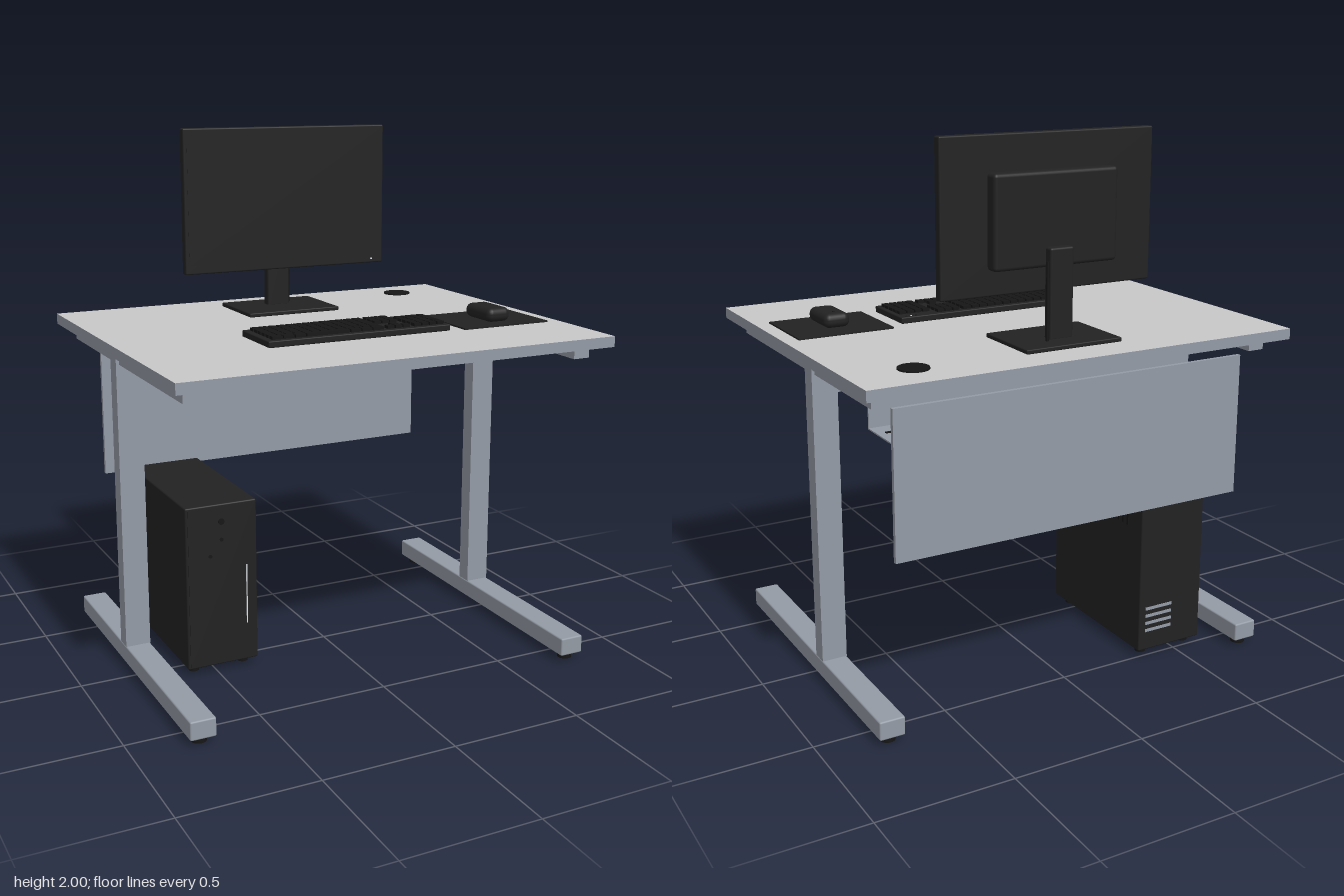
import * as THREE from 'three';
import { RoundedBoxGeometry } from 'three/addons/geometries/RoundedBoxGeometry.js';

const mat = (name, color) => {
  const m = new THREE.MeshStandardMaterial({ color });
  m.name = name;
  return m;
};

export function createModel() {
  const root = new THREE.Group();
  root.name = 'computerDesk';
  const laminate = mat('light grey laminate', 0xc8c8c8);
  const steel = mat('blue grey steel', 0x949ba5);
  const black = mat('black plastic', 0x222222);
  const dark = mat('deep black', 0x161616);
  const light = mat('indicator light', 0xdfe3e8);

  const group = (name) => {
    const g = new THREE.Group();
    g.name = name;
    root.add(g);
    return g;
  };
  const add = (parent, name, geo, m, x, y, z) => {
    const mesh = new THREE.Mesh(geo, m);
    mesh.name = name;
    mesh.position.set(x, y, z);
    parent.add(mesh);
    return mesh;
  };
  // box given by its limits on each axis; r rounds the edges
  const box = (parent, name, m, [x0, x1], [y0, y1], [z0, z1], r = 0) => {
    const s = [x1 - x0, y1 - y0, z1 - z0];
    const geo = r ? new RoundedBoxGeometry(...s, 3, r) : new THREE.BoxGeometry(...s);
    return add(parent, name, geo, m, (x0 + x1) / 2, (y0 + y1) / 2, (z0 + z1) / 2);
  };
  const disc = (parent, name, m, r, h, x, y, z) =>
    add(parent, name, new THREE.CylinderGeometry(r, r, h, 24), m, x, y + h / 2, z);

  // Desk top: laminate faces with a steel-coloured edge band
  const desk = group('desk');
  box(desk, 'deskTop', [steel, steel, laminate, laminate, steel, steel],
    [-0.845, 0.845], [1.235, 1.275], [-0.675, 0.675]);

  // T-shaped legs, one per side
  for (const s of [-1, 1]) {
    const leg = group(s > 0 ? 'leftLeg' : 'rightLeg');
    const span = (a, b) => (s > 0 ? [a, b] : [-b, -a]);
    box(leg, 'floorBar', steel, span(0.71, 0.805), [0.025, 0.095], [-0.62, 0.622], 0.006);
    box(leg, 'column', steel, span(0.71, 0.805), [0.095, 1.235], [-0.116, -0.053]);
    box(leg, 'topRail', steel, span(0.727, 0.793), [1.185, 1.235], [-0.59, 0.595]);
    for (const z of [-0.575, 0.575]) disc(leg, 'levelingFoot', dark, 0.027, 0.025, s * 0.758, 0, z);
  }

  // Cross beam, modesty panel and cable tray
  box(desk, 'crossBeam', steel, [-0.71, 0.71], [1.11, 1.19], [-0.11, -0.06]);
  box(desk, 'modestyPanel', steel, [-0.71, 0.707], [0.63, 1.167], [-0.564, -0.548]);
  const tray = group('cableTray');
  box(tray, 'trayFloor', steel, [-0.678, 0.674], [1.017, 1.022], [-0.51, -0.29]);
  box(tray, 'trayLip', steel, [-0.678, 0.674], [1.017, 1.113], [-0.294, -0.289]);
  for (const z of [-0.37, -0.435])
    for (let i = 0; i < 9; i++) {
      const x = -0.6 + i * 0.15;
      box(tray, 'traySlot', dark, [x - 0.045, x + 0.045], [1.015, 1.026], [z - 0.005, z + 0.005]);
    }

  // Computer tower
  const tower = group('tower');
  box(tower, 'towerCase', black, [-0.615, -0.332], [0.025, 0.66], [-0.505, 0.103], 0.006);
  box(tower, 'frontPanel', black, [-0.606, -0.341], [0.035, 0.65], [0.1, 0.106]);
  box(tower, 'lightStrip', light, [-0.378, -0.374], [0.175, 0.41], [0.104, 0.109]);
  for (const [x, y, r] of [[-0.475, 0.59, 0.012], [-0.475, 0.52, 0.007], [-0.52, 0.46, 0.007]])
    disc(tower, 'frontButton', dark, r, 0.006, x, y, 0.106).rotation.x = Math.PI / 2;
  for (const x of [-0.575, -0.375])
    for (const z of [0.05, -0.455]) disc(tower, 'towerFoot', dark, 0.02, 0.026, x, 0, z);
  for (let i = 0; i < 12; i++) {
    const z = -0.08 - i * 0.03;
    box(tower, 'sideVent', dark, [-0.334, -0.33], [0.515, 0.585], [z - 0.006, z + 0.006]);
  }
  for (let i = 0; i < 4; i++) {
    const y = 0.1 + i * 0.03;
    box(tower, 'expansionSlot', steel, [-0.48, -0.36], [y, y + 0.012], [-0.507, -0.503]);
  }

  // Monitor with stand
  const monitor = group('monitor');
  box(monitor, 'screenPanel', black, [-0.43, 0.426], [1.447, 2], [-0.358, -0.321], 0.006);
  box(monitor, 'screen', black, [-0.415, 0.411], [1.48, 1.985], [-0.323, -0.32]);
  box(monitor, 'powerLight', light, [0.371, 0.379], [1.461, 1.467], [-0.323, -0.319]);
  box(monitor, 'rearCasing', black, [-0.25, 0.248], [1.54, 1.873], [-0.414, -0.355], 0.014);
  box(monitor, 'standColumn', black, [-0.05, 0.045], [1.285, 1.612], [-0.446, -0.405], 0.008);
  box(monitor, 'standBase', black, [-0.195, 0.191], [1.275, 1.291], [-0.538, -0.25], 0.004);
  disc(monitor, 'cable', dark, 0.006, 0.285, 0.063, 1.285, -0.458);

  // Keyboard: main keys, navigation keys, arrows and number pad
  const keyboard = group('keyboard');
  box(keyboard, 'keyboardBody', black, [-0.37, 0.365], [1.275, 1.299], [0.082, 0.32], 0.004);
  const key = (x, z, w) =>
    box(keyboard, 'key', dark, [x, x + w], [1.298, 1.31], [z, z + 0.027]);
  const pitch = 0.0325;
  for (let row = 0; row < 6; row++) {
    const z = 0.102 + row * 0.034;
    if (row === 5) {
      for (const [x, w] of [[-0.347, 0.04], [-0.302, 0.04], [-0.257, 0.04], [-0.212, 0.17],
        [-0.037, 0.04], [0.008, 0.04], [0.053, 0.043]]) key(x, z, w);
    } else {
      for (let i = 0; i < 13; i++) key(-0.347 + i * 0.0342, z, i === 12 ? 0.033 : 0.029);
    }
    for (let i = 0; i < 3; i++)
      if (row < 3 || row === 5 || (row === 4 && i === 1)) key(0.113 + i * pitch, z, 0.027);
    if (row > 0) for (let i = 0; i < 4; i++) key(0.224 + i * pitch, z, 0.027);
  }
  for (const x of [0.3, 0.32, 0.34])
    box(keyboard, 'keyLight', x === 0.32 ? light : dark, [x - 0.003, x + 0.003], [1.298, 1.301], [0.094, 0.098]);

  // Mouse on its pad
  const mouse = group('mouse');
  box(mouse, 'mousePad', black, [0.42, 0.79], [1.275, 1.281], [0.032, 0.335]);
  box(mouse, 'mouseBody', black, [0.555, 0.655], [1.281, 1.335], [0.112, 0.287], 0.024);
  const wheel = disc(mouse, 'scrollWheel', dark, 0.012, 0.01, 0.605, 1.32, 0.155);
  wheel.rotation.z = Math.PI / 2;

  // Cable grommet
  disc(desk, 'cableGrommet', dark, 0.055, 0.006, 0.604, 1.275, -0.51);

  return root;
}
